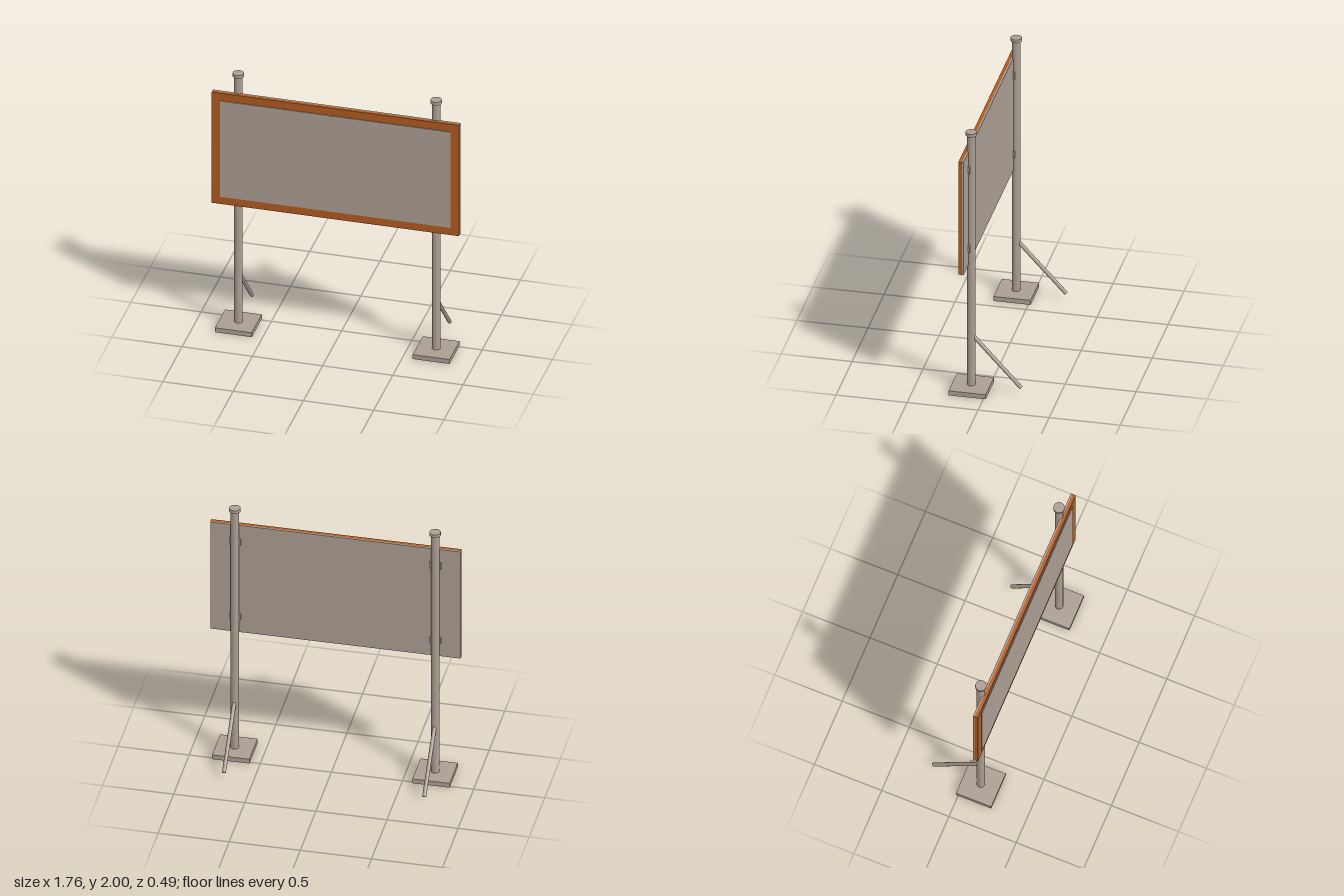
import * as THREE from 'three';

export function createModel() {
  const root = new THREE.Group();
  root.name = 'billboard';
  const metal = new THREE.MeshStandardMaterial({ color: 0xab9e93 });
  metal.name = 'warm grey metal';
  const orange = new THREE.MeshStandardMaterial({ color: 0xb05b20 });
  orange.name = 'orange frame paint';

  const add = (parent, name, geometry, material, x, y, z) => {
    const mesh = new THREE.Mesh(geometry, material);
    mesh.name = name;
    mesh.position.set(x, y, z);
    parent.add(mesh);
    return mesh;
  };
  const box = (w, h, d) => new THREE.BoxGeometry(w, h, d);

  // Sign panel: grey backing, orange frame slab, grey display face
  const midY = 1.412;
  const panel = new THREE.Group();
  panel.name = 'panel';
  root.add(panel);
  add(panel, 'backing', box(1.76, 0.876, 0.012), metal, 0, midY, 0.136);
  add(panel, 'frame', box(1.76, 0.876, 0.024), orange, 0, midY, 0.154);
  add(panel, 'displayFace', box(1.64, 0.758, 0.005), metal, 0, midY, 0.1685);

  // Two supports, each with base plate, post, cap, brackets and rear brace
  const postZ = 0.115;
  for (const [side, x] of [['left', 0.704], ['right', -0.704]]) {
    const support = new THREE.Group();
    support.name = side + 'Support';
    support.position.x = x;
    root.add(support);

    add(support, 'basePlate', box(0.262, 0.035, 0.262), metal, 0, 0.0175, postZ);
    add(support, 'post', new THREE.CylinderGeometry(0.029, 0.029, 1.95, 20), metal, 0, 1.005, postZ);
    add(support, 'cap', new THREE.CylinderGeometry(0.039, 0.039, 0.025, 20), metal, 0, 1.9875, postZ);
    for (const y of [1.104, 1.718]) {
      add(support, 'bracket', box(0.08, 0.052, 0.014), metal, 0, y, 0.124);
    }

    // Brace slopes down and back from the post
    const top = new THREE.Vector3(0, 0.412, 0.1);
    const foot = new THREE.Vector3(0, 0.048, -0.236);
    const dir = top.clone().sub(foot);
    const brace = add(support, 'brace', new THREE.CylinderGeometry(0.014, 0.014, dir.length(), 12), metal, 0, 0, 0);
    brace.position.copy(top).add(foot).multiplyScalar(0.5);
    brace.quaternion.setFromUnitVectors(new THREE.Vector3(0, 1, 0), dir.normalize());
  }
  return root;
}
